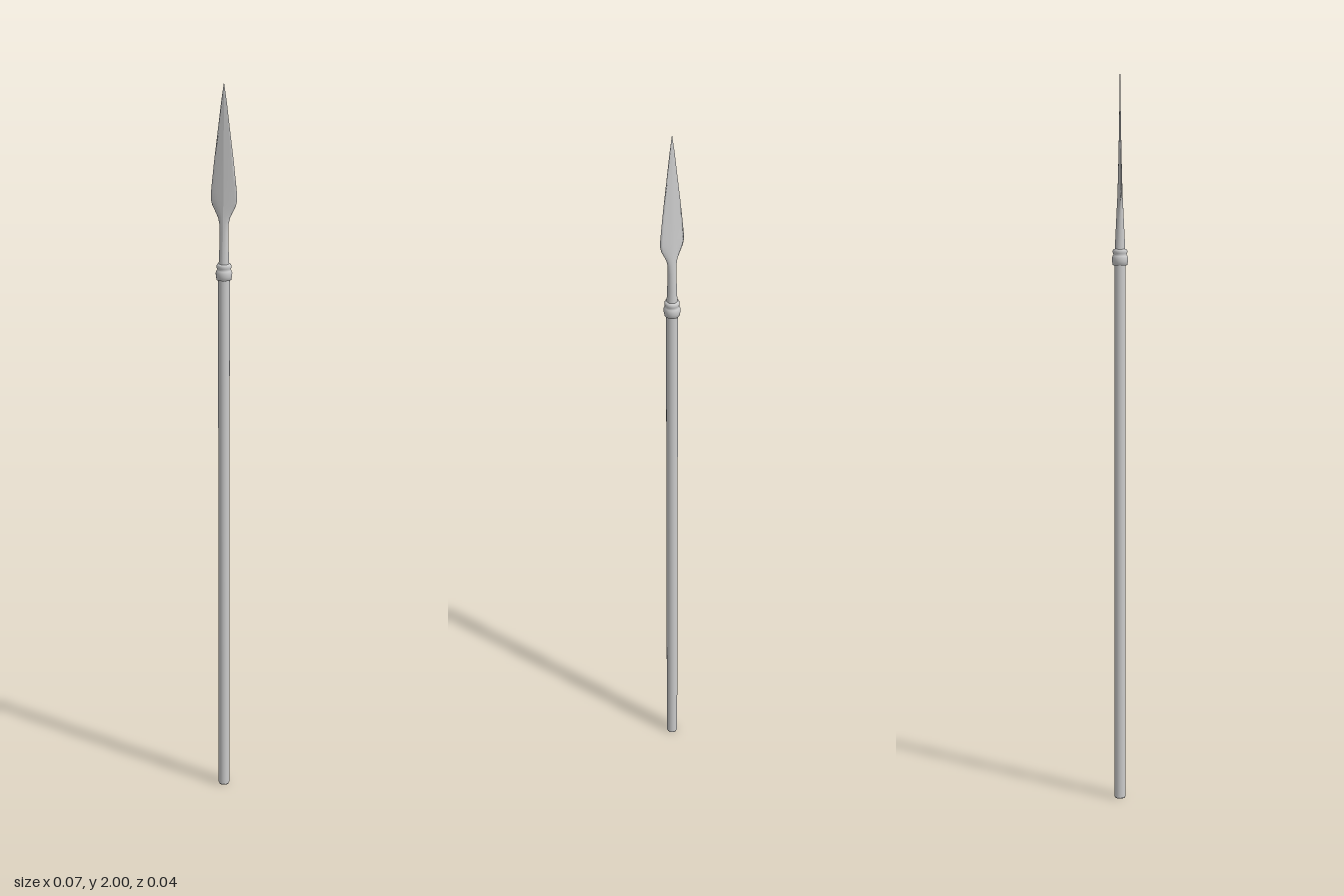
import * as THREE from 'three';

const grey = new THREE.MeshStandardMaterial({ color: 0xcccccc });

function part(name, geometry) {
  const mesh = new THREE.Mesh(geometry, grey);
  mesh.name = name;
  return mesh;
}

// Spearhead sections, tip first: height, half width, half depth, sharpness (0 round, 1 diamond)
const HEAD = [
  [2.0, 0.0005, 0.0005, 1],
  [1.95, 0.008, 0.0012, 1],
  [1.88, 0.0165, 0.002, 1],
  [1.8, 0.0265, 0.0035, 0.9],
  [1.74, 0.033, 0.0048, 0.8],
  [1.715, 0.0355, 0.0055, 0.75],
  [1.698, 0.036, 0.006, 0.7],
  [1.682, 0.032, 0.0065, 0.6],
  [1.665, 0.0235, 0.0072, 0.45],
  [1.65, 0.0165, 0.008, 0.25],
  [1.635, 0.013, 0.0088, 0.1],
  [1.61, 0.0118, 0.01, 0],
  [1.56, 0.0125, 0.0125, 0],
  [1.515, 0.0145, 0.0145, 0],
];

// Cylinder rows reshaped into a flat leaf blade that runs into a round socket
function headGeometry() {
  const rows = HEAD.length - 1;
  const geometry = new THREE.CylinderGeometry(1, 1, 1, 20, rows, true);
  const pos = geometry.attributes.position;
  for (let i = 0; i < pos.count; i++) {
    const [y, w, d, sharp] = HEAD[Math.round((0.5 - pos.getY(i)) * rows)];
    const s = pos.getX(i), c = pos.getZ(i);
    const k = THREE.MathUtils.lerp(1, 1 / (Math.abs(s) + Math.abs(c)), sharp);
    pos.setXYZ(i, s * k * w, y, c * k * d);
  }
  geometry.computeVertexNormals();
  return geometry;
}

export function createModel() {
  const model = new THREE.Group();
  model.name = 'spear';

  // Long round shaft with a slightly bevelled butt
  const shaft = [[0, 0], [0.0135, 0], [0.0155, 0.004], [0.0155, 1.5], [0, 1.5]];
  model.add(part('shaft', new THREE.LatheGeometry(shaft.map(([r, y]) => new THREE.Vector2(r, y)), 20)));

  // Collar: wide lower band, a groove and a smaller upper bead
  const collar = [
    [0.015, 1.483], [0.0195, 1.484], [0.0215, 1.494], [0.022, 1.503], [0.0195, 1.509],
    [0.0175, 1.512], [0.0195, 1.516], [0.0198, 1.522], [0.0175, 1.526], [0.0135, 1.527],
  ];
  model.add(part('collar', new THREE.LatheGeometry(collar.map(([r, y]) => new THREE.Vector2(r, y)), 24)));

  model.add(part('spearhead', headGeometry()));
  return model;
}
